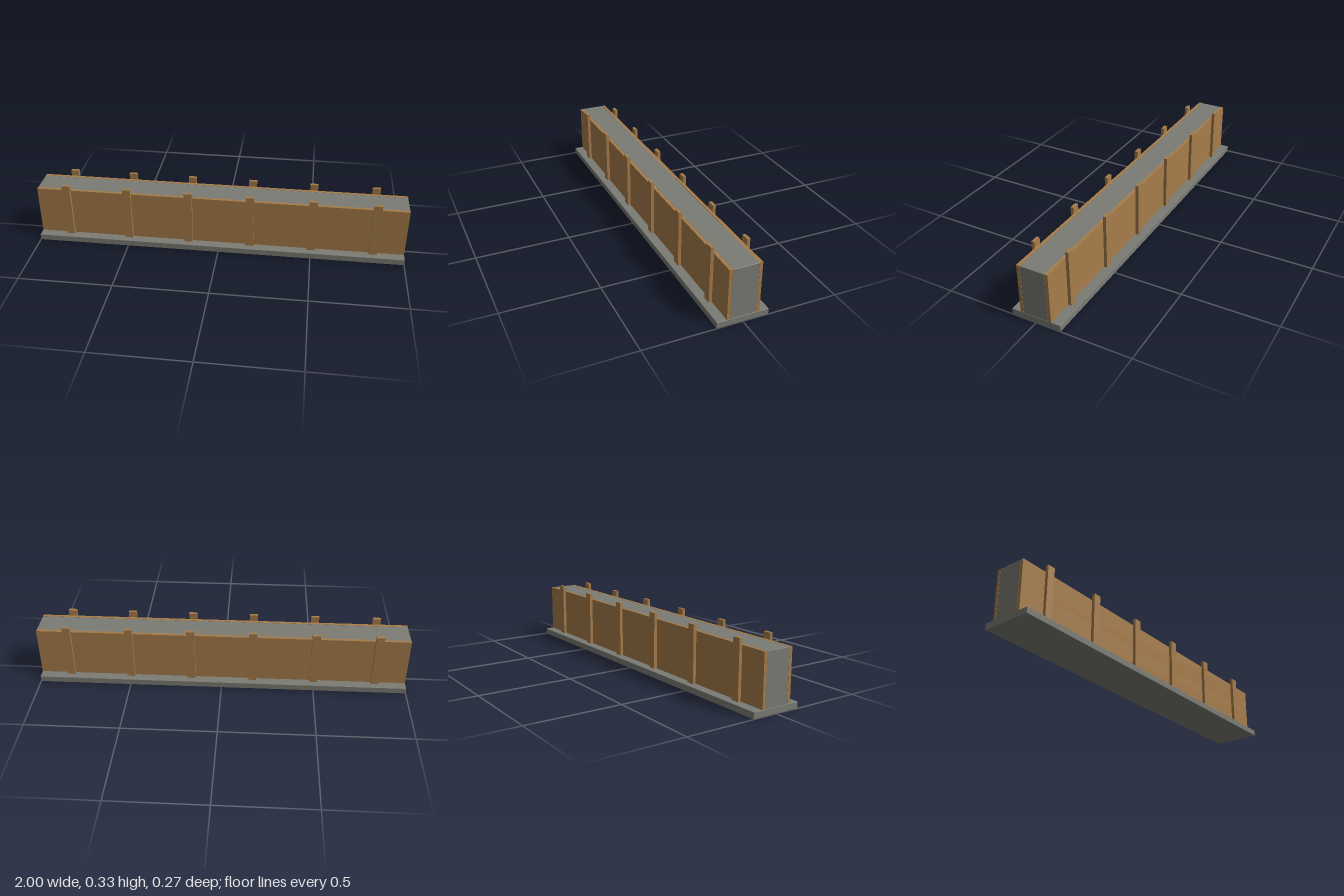
import * as THREE from 'three';
import { RoundedBoxGeometry } from 'three/addons/geometries/RoundedBoxGeometry.js';

export function createModel() {
  const model = new THREE.Group();
  model.name = 'wallFormwork';
  const concrete = new THREE.MeshStandardMaterial({ name: 'concrete grey', color: 0x7c7c75 });
  const wood = new THREE.MeshStandardMaterial({ name: 'formwork wood', color: 0xa67c4a });

  const add = (name, geometry, material, x, y, z, parent = model) => {
    const mesh = new THREE.Mesh(geometry, material);
    mesh.name = name;
    mesh.position.set(x, y, z);
    parent.add(mesh);
  };

  const footingTop = 0.0333;
  const wallTop = 0.3;
  const boardHeight = (wallTop - footingTop) / 2;
  const thickness = 0.0167;

  // Concrete footing and the wall cast on it, with slightly eased edges
  add('footing', new RoundedBoxGeometry(2, footingTop, 0.2667, 1, 0.002), concrete, 0, footingTop / 2, 0);
  add('wallCore', new RoundedBoxGeometry(2, wallTop - footingTop, 0.1333, 1, 0.002),
    concrete, 0, (footingTop + wallTop) / 2, 0);

  const boardGeometry = new THREE.BoxGeometry(2, boardHeight, thickness);
  const postGeometry = new THREE.BoxGeometry(0.0433, 0.3, thickness);

  // Each face has two long boards held by six upright posts
  for (const side of [1, -1]) {
    const panel = new THREE.Group();
    panel.name = side > 0 ? 'frontFormwork' : 'backFormwork';
    model.add(panel);
    for (let row = 0; row < 2; row++) {
      add(row ? 'upperBoard' : 'lowerBoard', boardGeometry, wood,
        0, footingTop + boardHeight * (row + 0.5), side * 0.075, panel);
    }
    for (let i = 0; i < 6; i++) {
      add('post', postGeometry, wood, (i - 2.5) / 3, footingTop + 0.15, side * 0.0917, panel);
    }
  }
  return model;
}
